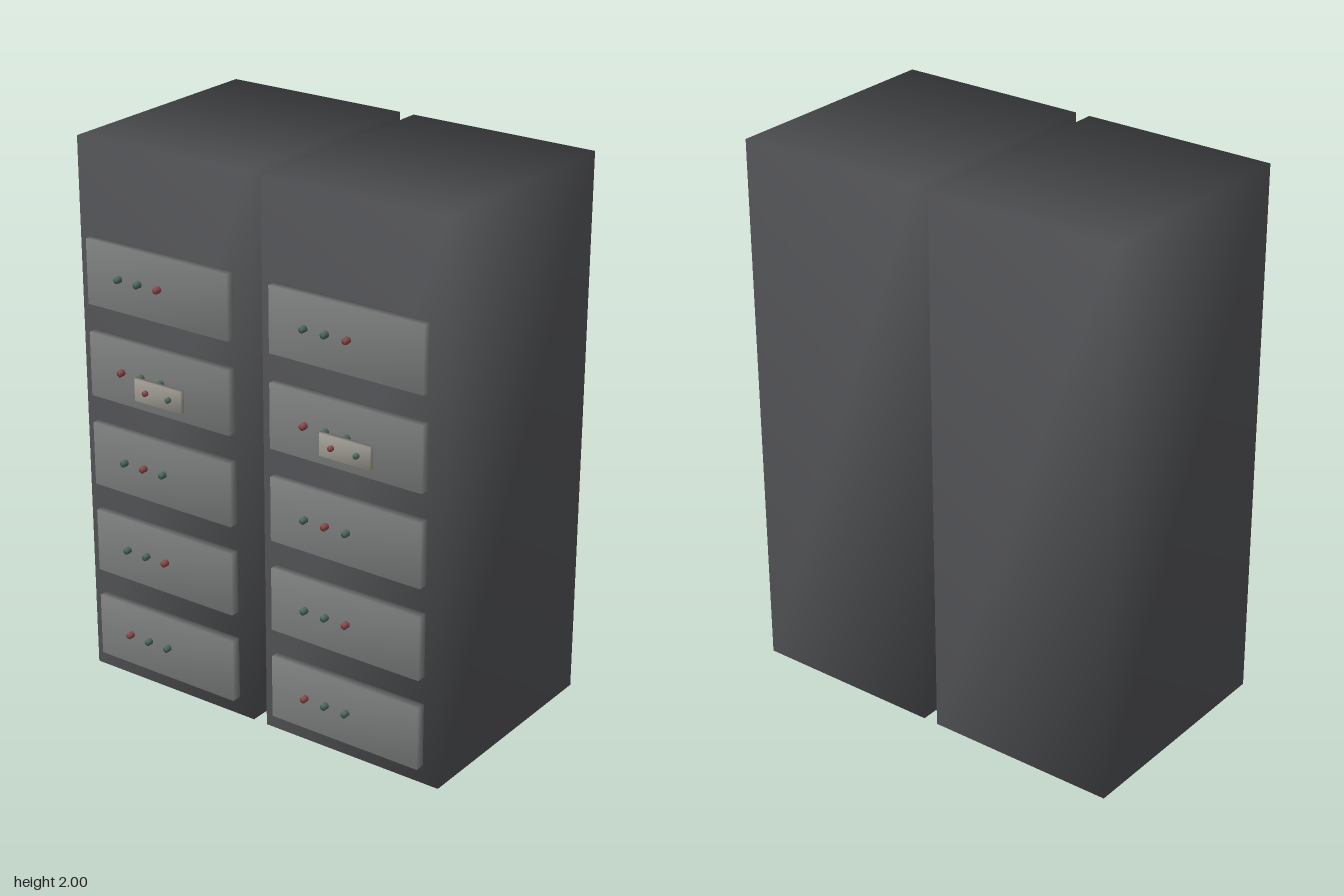
import * as THREE from 'three';
import { mergeVertices } from 'three/addons/utils/BufferGeometryUtils.js';

const mat = (color) => new THREE.MeshStandardMaterial({ color });

// Share corner vertices so that normals blend softly across the edges
function soften(geometry) {
  geometry.deleteAttribute('normal');
  geometry.deleteAttribute('uv');
  const merged = mergeVertices(geometry);
  merged.computeVertexNormals();
  return merged;
}

function addMesh(parent, name, geometry, material, x, y, z) {
  const mesh = new THREE.Mesh(geometry, material);
  mesh.name = name;
  mesh.position.set(x, y, z);
  parent.add(mesh);
}

export function createModel() {
  const model = new THREE.Group();
  model.name = 'cabinetPair';

  const body = mat(0x57585b), face = mat(0x7a7b7b), plate = mat(0x9c9890);
  const red = mat(0x8c4a4a), green = mat(0x4c6a60);

  const bodyGeo = soften(new THREE.BoxGeometry(0.717, 2, 0.863));
  const drawerGeo = soften(new THREE.BoxGeometry(0.602, 0.235, 0.036));
  const plateGeo = soften(new THREE.BoxGeometry(0.2, 0.08, 0.018));
  const buttonGeo = soften(new THREE.CylinderGeometry(0.012, 0.012, 0.022, 12).rotateX(Math.PI / 2));
  const smallButtonGeo = soften(new THREE.CylinderGeometry(0.01, 0.01, 0.012, 12).rotateX(Math.PI / 2));

  const redButton = [0, 2, 1, 0, 2]; // which button is red, bottom row first

  for (const side of [-1, 1]) {
    const cabinet = new THREE.Group();
    cabinet.name = side < 0 ? 'rightCabinet' : 'leftCabinet';
    cabinet.position.x = side * 0.3865;
    model.add(cabinet);

    addMesh(cabinet, 'cabinetBody', bodyGeo, body, 0, 1, -0.0455);

    // Five front panels, each with a row of three buttons
    redButton.forEach((redIndex, row) => {
      const y = 0.188 + row * 0.338;
      addMesh(cabinet, 'frontPanel', drawerGeo, face, -0.003, y, 0.406);
      for (let i = 0; i < 3; i++) {
        addMesh(cabinet, 'button', buttonGeo, i === redIndex ? red : green,
          -0.16 + i * 0.085, y + 0.002, 0.432);
      }
    });

    // Small control plate in front of the fourth panel
    addMesh(cabinet, 'controlPlate', plateGeo, plate, 0.0265, 1.175, 0.457);
    [red, green].forEach((m, i) =>
      addMesh(cabinet, 'plateButton', smallButtonGeo, m, -0.023 + i * 0.1, 1.175, 0.471));
  }
  return model;
}
